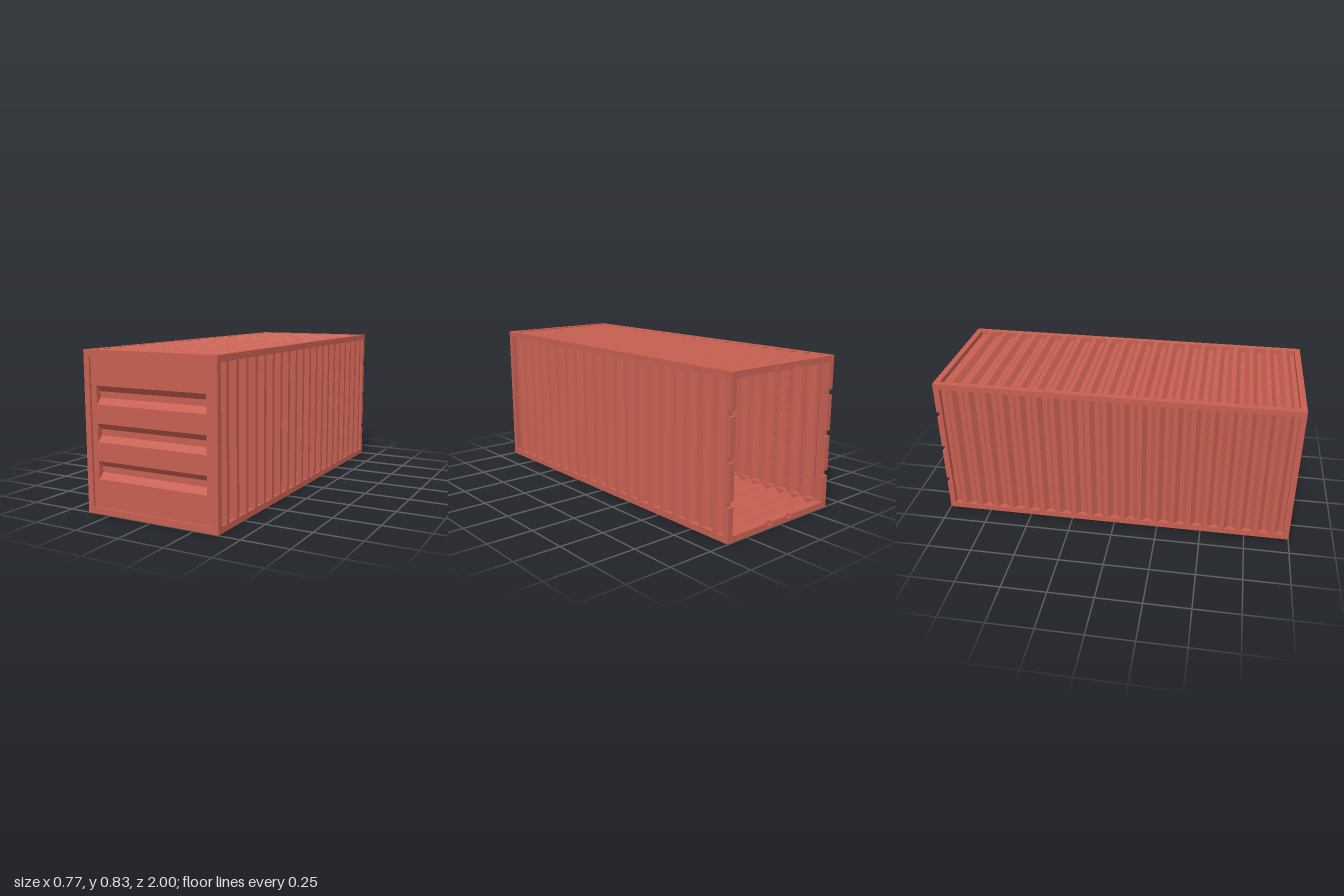
import * as THREE from 'three';

const W = 0.768, H = 0.833, L = 2, B = 0.033; // outer size and beam thickness
const DEPTH = 0.028;                          // corrugation depth

const steel = new THREE.MeshStandardMaterial({ color: 0xc65f50, flatShading: true });
const sheetSteel = new THREE.MeshStandardMaterial({ color: 0xc65f50, flatShading: true, side: THREE.DoubleSide });

function add(parent, name, geometry, material = steel) {
  const mesh = new THREE.Mesh(geometry, material);
  mesh.name = name;
  parent.add(mesh);
  return mesh;
}

// box given by its lower and upper corners
function block(parent, name, a, b) {
  const g = new THREE.BoxGeometry(b[0] - a[0], b[1] - a[1], b[2] - a[2]);
  g.translate((a[0] + b[0]) / 2, (a[1] + b[1]) / 2, (a[2] + b[2]) / 2);
  return add(parent, name, g);
}

// folded sheet: a profile of [z, y] points swept across x, facing +y
function foldedSheet(profile, width) {
  const pos = [], w = width / 2;
  for (let i = 0; i < profile.length - 1; i++) {
    const [z0, y0] = profile[i], [z1, y1] = profile[i + 1];
    pos.push(-w, y0, z0, -w, y1, z1, w, y1, z1);
    pos.push(-w, y0, z0, w, y1, z1, w, y0, z0);
  }
  const g = new THREE.BufferGeometry();
  g.setAttribute('position', new THREE.Float32BufferAttribute(pos, 3));
  g.computeVertexNormals();
  return g;
}

// trapezoid corrugation with twenty ridges, starting and ending in a valley
function corrugation() {
  const ridges = 20, start = -L / 2 + B, step = (L - 2 * B) / (ridges * 4 + 1);
  const profile = [[start, -DEPTH]];
  for (let i = 0; i < ridges; i++) {
    const z = start + i * 4 * step;
    profile.push([z + step, -DEPTH], [z + 2 * step, 0], [z + 3 * step, 0], [z + 4 * step, -DEPTH]);
  }
  profile.push([-start, -DEPTH]);
  return profile;
}

function rect(path, x0, y0, x1, y1) {
  path.moveTo(x0, y0);
  path.lineTo(x1, y0);
  path.lineTo(x1, y1);
  path.lineTo(x0, y1);
  path.closePath();
  return path;
}

// rectangular end ring
function ring(depth) {
  const shape = rect(new THREE.Shape(), -W / 2, 0, W / 2, H);
  shape.holes.push(rect(new THREE.Path(), -W / 2 + B, B, W / 2 - B, H - B));
  return new THREE.ExtrudeGeometry(shape, { depth, bevelEnabled: false });
}

function createFrame() {
  const frame = new THREE.Group();
  frame.name = 'frame';
  const notch = 0.018, half = 0.015;

  add(frame, 'frontRing', ring(B)).position.z = L / 2 - B;
  add(frame, 'backRing', ring(B - notch)).position.z = -L / 2 + notch;

  // long beams along the four edges
  for (const x of [-W / 2, W / 2 - B])
    for (const y of [0, H - B])
      block(frame, 'longBeam', [x, y, -L / 2 + B], [x + B, y + B, L / 2 - B]);

  // rear face of the posts, split by three hinge notches
  const cuts = [0.195, H / 2, H - 0.195];
  const ends = [0, ...cuts.flatMap(y => [y - half, y + half]), H];
  for (const x of [-W / 2, W / 2 - B])
    for (let i = 0; i < ends.length; i += 2)
      block(frame, 'rearPostSegment', [x, ends[i], -L / 2], [x + B, ends[i + 1], -L / 2 + notch]);

  // rear face of the sill and header, with two lock notches in the inner edge
  const x = W / 2 - B, inner = 0.014;
  const bar = new THREE.Shape();
  bar.moveTo(-x, 0);
  bar.lineTo(x, 0);
  bar.lineTo(x, B);
  for (const c of [0.075, -0.075]) {
    bar.lineTo(c + half, B);
    bar.lineTo(c + half, inner);
    bar.lineTo(c - half, inner);
    bar.lineTo(c - half, B);
  }
  bar.lineTo(-x, B);
  bar.closePath();
  const barGeometry = new THREE.ExtrudeGeometry(bar, { depth: notch, bevelEnabled: false });
  add(frame, 'rearSill', barGeometry).position.z = -L / 2;
  const header = add(frame, 'rearHeader', barGeometry);
  header.rotation.z = Math.PI;
  header.position.set(0, H, -L / 2);
  return frame;
}

// front wall with three pressed-in grooves
function createFrontWall() {
  const wall = new THREE.Group();
  wall.name = 'frontWall';
  const w = 0.318, h = 0.047, flat = 0.016, deep = 0.03;
  const plate = rect(new THREE.Shape(), -W / 2 + B, B, W / 2 - B, H - B);
  const section = [[-h, 0], [-flat, -deep], [flat, -deep], [h, 0]];
  const groove = foldedSheet(section, 2 * w);
  const cap = new THREE.ShapeGeometry(new THREE.Shape(section.map(p => new THREE.Vector2(...p))));
  cap.rotateY(Math.PI / 2).rotateX(Math.PI / 2).rotateX(-Math.PI / 2);
  // the cap section lies in (z, y), matching the swept profile
  for (const y of [0.226, 0.417, 0.608]) {
    plate.holes.push(rect(new THREE.Path(), -w, y - h, w, y + h));
    const press = new THREE.Group();
    press.name = 'groove';
    add(press, 'grooveSheet', groove, sheetSteel);
    for (const x of [-w, w]) add(press, 'grooveEnd', cap, sheetSteel).position.x = x;
    press.rotation.x = Math.PI / 2;
    press.position.y = y;
    wall.add(press);
  }
  add(wall, 'frontPlate', new THREE.ShapeGeometry(plate), sheetSteel);
  wall.position.z = L / 2 - 0.012;
  return wall;
}

export function createModel() {
  const model = new THREE.Group();
  model.name = 'cargoContainer';
  model.add(createFrame(), createFrontWall());

  // corrugated roof, floor and side walls
  const profile = corrugation();
  const wide = foldedSheet(profile, W - 2 * B), tall = foldedSheet(profile, H - 2 * B);
  const panels = [
    ['roof', wide, 0, H, 0],
    ['floor', wide, 0, 0, Math.PI],
    ['leftWall', tall, W / 2, H / 2, -Math.PI / 2],
    ['rightWall', tall, -W / 2, H / 2, Math.PI / 2],
  ];
  for (const [name, geometry, x, y, turn] of panels) {
    const panel = add(model, name, geometry, sheetSteel);
    panel.position.set(x, y, 0);
    panel.rotation.z = turn;
  }
  return model;
}
